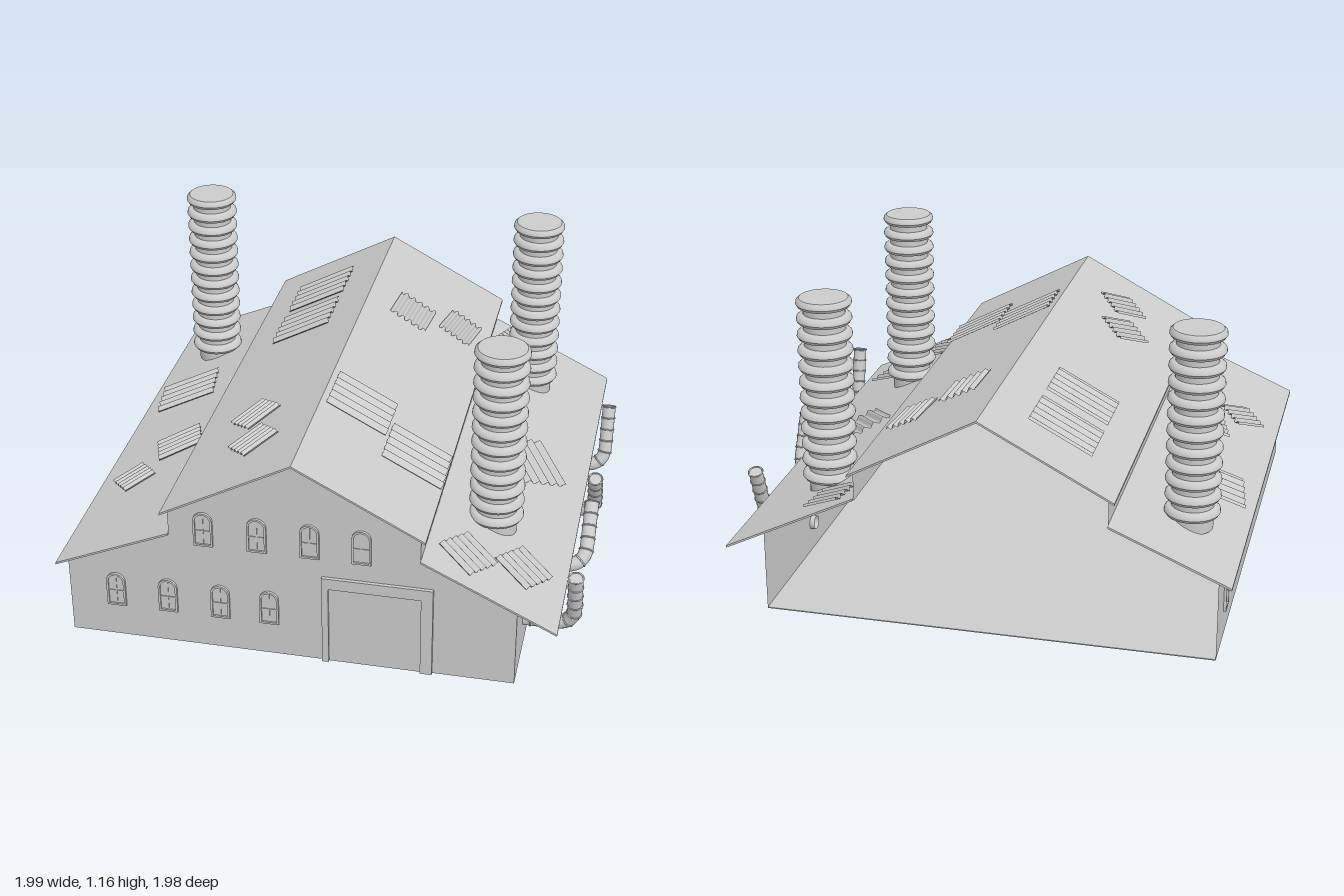
import * as THREE from 'three';
import { toCreasedNormals } from 'three/addons/utils/BufferGeometryUtils.js';

const mat = new THREE.MeshStandardMaterial({ color: 0xcccccc, side: THREE.DoubleSide });

function add(parent, name, geo, x = 0, y = 0, z = 0) {
  const m = new THREE.Mesh(geo, mat);
  m.name = name;
  m.position.set(x, y, z);
  parent.add(m);
  return m;
}

function group(parent, name) {
  const g = new THREE.Group();
  g.name = name;
  parent.add(g);
  return g;
}

const poly = pts => new THREE.Shape(pts.map(p => new THREE.Vector2(...p)));

// Roof slopes as [x0, y0, x1, y1, zBack, zFront]
const ROOFS = {
  lowerLeftRoof: [-1, 0.3, -0.545, 0.495, -0.985, 0.97],
  upperLeftRoof: [-0.57, 0.59, -0.065, 0.858, -0.99, 0.985],
  upperRightRoof: [-0.065, 0.858, 0.43, 0.595, -0.99, 0.985],
  lowerRightRoof: [0.41, 0.5, 0.92, 0.25, -0.985, 0.97],
};

// Corrugated patches as [roof, x, z, ridge length, width, turn in degrees]
const PATCHES = [
  ['upperLeftRoof', -0.325, -0.66, 0.27, 0.24, 0],
  ['upperLeftRoof', -0.325, -0.36, 0.27, 0.24, 0],
  ['upperLeftRoof', -0.34, 0.43, 0.16, 0.16, -45],
  ['upperLeftRoof', -0.29, 0.66, 0.16, 0.16, -42],
  ['upperRightRoof', 0.12, -0.455, 0.19, 0.17, 95],
  ['upperRightRoof', 0.31, -0.54, 0.19, 0.15, 100],
  ['upperRightRoof', 0.075, 0.385, 0.26, 0.24, 0],
  ['upperRightRoof', 0.315, 0.52, 0.26, 0.24, 0],
  ['lowerLeftRoof', -0.83, -0.27, 0.26, 0.24, -10],
  ['lowerLeftRoof', -0.72, 0.23, 0.19, 0.18, -20],
  ['lowerLeftRoof', -0.85, 0.44, 0.14, 0.15, -40],
  ['lowerRightRoof', 0.535, -0.86, 0.18, 0.15, 20],
  ['lowerRightRoof', 0.7, -0.01, 0.26, 0.22, 55],
  ['lowerRightRoof', 0.56, 0.79, 0.17, 0.18, 32],
  ['lowerRightRoof', 0.76, 0.7, 0.17, 0.18, 32],
];

function corrugatedSheet(length, width) {
  const g = new THREE.PlaneGeometry(length, width, 1, 40).rotateX(-Math.PI / 2);
  const p = g.attributes.position;
  for (let i = 0; i < p.count; i++) {
    const t = p.getZ(i) / width + 0.5;
    p.setY(i, 0.008 * Math.sin(t * Math.PI * 10));
  }
  g.computeVertexNormals();
  return g;
}

// Arched outline centred on x, bottom at y = 0
function arch(w, h, Type) {
  const s = new Type();
  const r = w / 2;
  s.moveTo(-r, 0);
  s.lineTo(r, 0);
  s.lineTo(r, h - r);
  s.absarc(0, h - r, r, 0, Math.PI, false);
  s.lineTo(-r, 0);
  return s;
}

function archWindow(parent, x, y, z, turn) {
  const g = group(parent, 'archedWindow');
  const frame = arch(0.074, 0.145, THREE.Shape);
  const hole = arch(0.058, 0.129, THREE.Path);
  frame.holes.push(new THREE.Path(hole.getPoints(8).map(p => p.add(new THREE.Vector2(0, 0.008)))));
  add(g, 'windowFrame', new THREE.ExtrudeGeometry(frame, { depth: 0.01, bevelEnabled: false, curveSegments: 8 }));
  add(g, 'windowPane', new THREE.ShapeGeometry(arch(0.07, 0.14, THREE.Shape), 8), 0, 0.002, 0.003);
  add(g, 'mullion', new THREE.BoxGeometry(0.005, 0.13, 0.006), 0, 0.07, 0.003);
  add(g, 'transom', new THREE.BoxGeometry(0.06, 0.005, 0.006), 0, 0.065, 0.003);
  g.position.set(x, y, z);
  g.rotation.y = turn;
}

function chimney(parent, x, z, base) {
  const pts = [[0.0001, base], [0.08, base]];
  for (let i = 0; i < 12; i++) {
    const y = 0.442 + i * 0.0635;
    pts.push([0.08, y - 0.02], [0.098, y - 0.018], [0.106, y - 0.006], [0.104, y + 0.006], [0.093, y + 0.016]);
    if (i < 11) pts.push([0.08, y + 0.018]);
  }
  pts.push([0.0001, 1.158]);
  const geo = new THREE.LatheGeometry(pts.map(p => new THREE.Vector2(...p)), 32);
  add(parent, 'ribbedChimney', toCreasedNormals(geo, 0.7), x, 0, z);
}

// Elbow pipe leaving the side wall and rising with a tilt toward z
function elbowPipe(parent, y, z, tilt, height) {
  const g = group(parent, 'elbowPipe');
  const V = (a, b) => new THREE.Vector3(a, b, 0);
  const path = new THREE.CurvePath();
  path.add(new THREE.LineCurve3(V(0.75, 0), V(0.88, 0)));
  path.add(new THREE.CubicBezierCurve3(V(0.88, 0), V(0.935, 0), V(0.963, 0.03), V(0.963, 0.085)));
  path.add(new THREE.LineCurve3(V(0.963, 0.085), V(0.963, height)));
  add(g, 'pipeBody', new THREE.TubeGeometry(path, 40, 0.028, 14));
  add(g, 'pipeEnd', new THREE.CircleGeometry(0.028, 14).rotateX(-Math.PI / 2), 0.963, height, 0);
  for (let i = 1; i <= 9; i++) {
    const t = i / 9;
    const collar = add(g, 'pipeCollar', new THREE.TorusGeometry(0.028, 0.0035, 6, 16));
    collar.position.copy(path.getPointAt(t));
    collar.quaternion.setFromUnitVectors(new THREE.Vector3(0, 0, 1), path.getTangentAt(t).normalize());
  }
  g.position.set(0, y, z);
  g.rotation.x = tilt * Math.PI / 180;
}

export function createModel() {
  const model = new THREE.Group();
  model.name = 'factory';

  // Shell: gabled front, side walls and floor, open at the back
  const shell = group(model, 'shell');
  const gable = poly([[-0.95, 0], [0.77, 0], [0.77, 0.32], [0.41, 0.495], [0.41, 0.602], [-0.065, 0.853],
    [-0.545, 0.6], [-0.545, 0.49], [-0.95, 0.318]]);
  add(shell, 'frontWall', new THREE.ShapeGeometry(gable), 0, 0, 0.96);
  add(shell, 'floor', new THREE.BoxGeometry(1.72, 0.004, 1.93), -0.09, 0.002, -0.005);
  for (const [name, x, y0, y1] of [['leftSideWall', 0.77, 0, 0.322], ['rightSideWall', -0.95, 0, 0.32],
    ['leftStepWall', 0.41, 0.49, 0.603], ['rightStepWall', -0.545, 0.485, 0.602]])
    add(shell, name, new THREE.PlaneGeometry(1.93, y1 - y0).rotateY(Math.PI / 2), x, (y0 + y1) / 2, -0.005);

  // Roof sheets
  const roof = group(model, 'roof');
  for (const [name, [x0, y0, x1, y1, z0, z1]] of Object.entries(ROOFS)) {
    const sheet = poly([[x0, y0 - 0.004], [x1, y1 - 0.004], [x1, y1 + 0.004], [x0, y0 + 0.004]]);
    add(roof, name, new THREE.ExtrudeGeometry(sheet, { depth: z1 - z0, bevelEnabled: false }), 0, 0, z0);
  }

  // Corrugated patches lying on the slopes
  for (const [name, x, z, length, width, turn] of PATCHES) {
    const [x0, y0, x1, y1] = ROOFS[name];
    const slope = (y1 - y0) / (x1 - x0);
    const g = group(roof, 'roofPatch');
    g.position.set(x, y0 + slope * (x - x0) + 0.018, z);
    g.rotation.z = Math.atan(slope);
    add(g, 'corrugatedSheet', corrugatedSheet(length, width)).rotation.y = -turn * Math.PI / 180;
  }

  // Windows
  const windows = group(model, 'windows');
  for (const x of [-0.765, -0.56, -0.355, -0.165]) archWindow(windows, x, 0.14, 0.96, 0);
  for (const x of [-0.41, -0.205, -0.005, 0.19]) archWindow(windows, x, 0.46, 0.96, 0);
  for (const z of [-0.76, -0.4, 0.02, 0.42, 0.75]) archWindow(windows, -0.95, 0.11, z, -Math.PI / 2);

  // Large door with a stepped frame
  const door = group(model, 'door');
  const frame = poly([[0.04, 0], [0.065, 0], [0.065, 0.335], [0.415, 0.335], [0.415, 0], [0.46, 0],
    [0.46, 0.382], [0.04, 0.382]]);
  add(door, 'doorFrame', new THREE.ExtrudeGeometry(frame, { depth: 0.014, bevelEnabled: false }), 0, 0, 0.96);
  add(door, 'doorPanel', new THREE.BoxGeometry(0.35, 0.335, 0.004), 0.24, 0.1675, 0.961);

  // Chimneys
  chimney(model, -0.8, -0.64, 0.37);
  chimney(model, 0.615, -0.635, 0.34);
  chimney(model, 0.62, 0.485, 0.34);

  // Pipes on the side wall
  elbowPipe(model, 0.145, 0.74, 13, 0.255);
  elbowPipe(model, 0.145, 0.36, -48, 0.265);
  elbowPipe(model, 0.14, -0.06, 28, 0.26);
  elbowPipe(model, 0.12, -0.45, -21, 0.26);

  return model;
}
